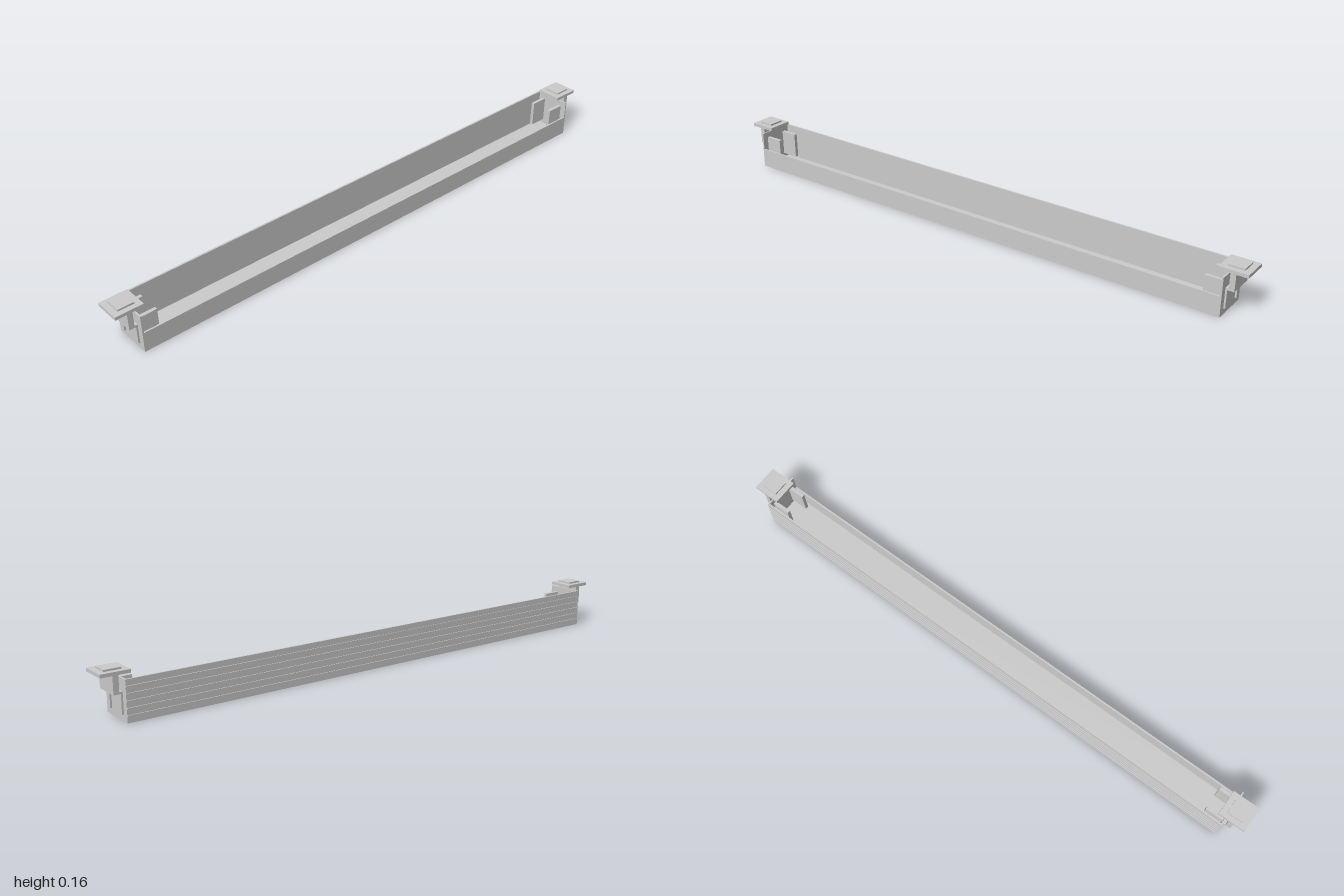
import * as THREE from 'three';

const grey = new THREE.MeshStandardMaterial({ color: 0xcccccc, flatShading: true });

// Box given by its min and max along each axis
function box(parent, name, [x0, x1], [y0, y1], [z0, z1]) {
  const mesh = new THREE.Mesh(new THREE.BoxGeometry(x1 - x0, y1 - y0, z1 - z0), grey);
  mesh.position.set((x0 + x1) / 2, (y0 + y1) / 2, (z0 + z1) / 2);
  mesh.name = name;
  parent.add(mesh);
  return mesh;
}

// Open trough with a low front wall and a tall back wall
function createTrough() {
  const trough = new THREE.Group();
  trough.name = 'trough';
  const L = 0.934, front = 0.067, back = -0.064, t = 0.006;
  const section = new THREE.Shape([
    [front, 0], [front, 0.068], [front - t, 0.068], [front - t, t],
    [back + t, t], [back + t, 0.13], [back, 0.13], [back, 0],
  ].map(([z, y]) => new THREE.Vector2(-z, y)));
  const geometry = new THREE.ExtrudeGeometry(section, { depth: 2 * L, bevelEnabled: false });
  geometry.rotateY(Math.PI / 2).translate(-L, 0, 0);
  const channel = new THREE.Mesh(geometry, grey);
  channel.name = 'channel';
  trough.add(channel);

  // Horizontal ribs along the back
  for (let i = 0; i < 5; i++) {
    const y = 0.022 + i * 0.0217;
    box(trough, 'backRib', [-L, L], [y - 0.002, y + 0.002], [back - 0.003, back]);
  }
  return trough;
}

// End plate with hanging bracket; side is +1 or -1
function createEnd(side) {
  const end = new THREE.Group();
  end.name = side > 0 ? 'leftEnd' : 'rightEnd';
  const part = (name, [x0, x1], y, z) =>
    box(end, name, side > 0 ? [x0, x1] : [-x1, -x0], y, z);

  part('endPlate', [0.929, 0.934], [0, 0.13], [-0.064, 0.067]);
  part('mountPlate', [0.905, 1.0], [0.14, 0.151], [-0.043, 0.046]);
  part('mountPad', [0.925, 0.98], [0.151, 0.157], [-0.025, 0.028]);
  part('stem', [0.944, 0.962], [0.083, 0.14], [-0.043, 0.046]);
  part('stemFoot', [0.934, 0.962], [0.083, 0.09], [-0.043, 0.046]);

  // Paired legs outside and clamping ears inside the trough
  for (const z of [[-0.043, -0.031], [0.034, 0.046]]) {
    part('leg', [0.934, 0.94], [0.021, 0.09], z);
    part('innerEar', [0.866, 0.93], [0.021, 0.11], z);
  }
  return end;
}

export function createModel() {
  const model = new THREE.Group();
  model.name = 'hangingTrough';
  model.add(createTrough(), createEnd(1), createEnd(-1));
  return model;
}
